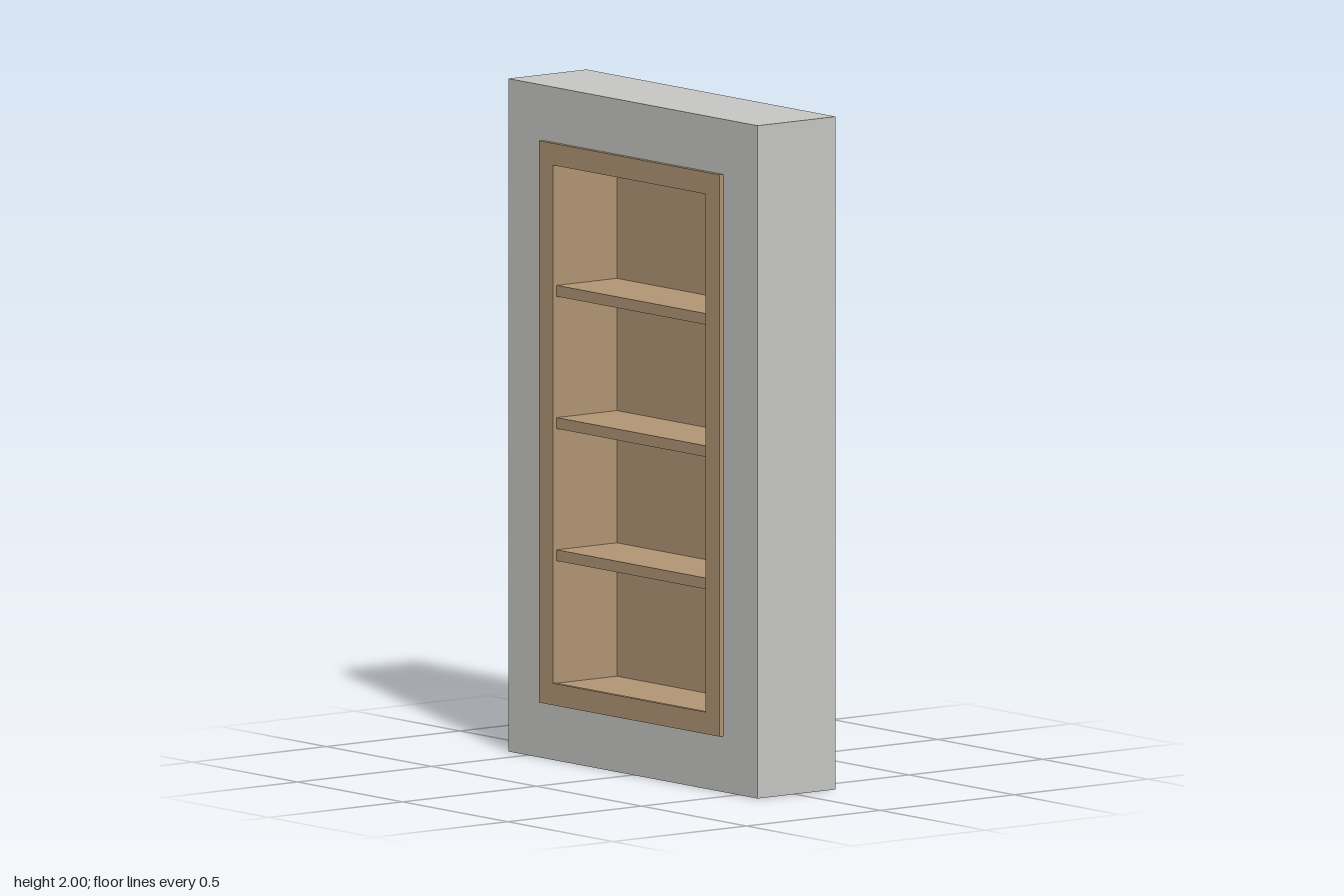
import * as THREE from 'three';

export function createModel() {
  const model = new THREE.Group();
  const stone = new THREE.MeshStandardMaterial({ color: 0xc8c8c6 });
  stone.name = 'wall grey';
  const wood = new THREE.MeshStandardMaterial({ color: 0xb39776 });
  wood.name = 'wood';

  const W = 0.593, H = 2, zBack = -0.153, zWall = 0.139, zFront = 0.153;
  const t = 0.033;                       // board thickness
  const inX = 0.363, inY = 0.77;         // half size of the niche opening
  const outX = 0.43, outY = 0.835;       // half size of the trim frame
  const zNiche = -0.086;                 // visible back of the niche

  const add = (name, geometry, material, parent = model) => {
    const mesh = new THREE.Mesh(geometry, material);
    mesh.name = name;
    parent.add(mesh);
    return mesh;
  };
  const board = (name, w, h, d, x, y, z, parent) =>
    add(name, new THREE.BoxGeometry(w, h, d), wood, parent).position.set(x, y, z);
  const polygon = (points) => points.map(([x, y]) => new THREE.Vector2(x, y));
  const rectangle = (x, y) => polygon([[-x, -y], [x, -y], [x, y], [-x, y]]);

  // Wall block: a box without its front, closed by a face with the opening cut out
  const wall = new THREE.Group();
  wall.name = 'wall';
  model.add(wall);
  const block = new THREE.BoxGeometry(2 * W, H, zWall - zBack);
  block.groups.splice(4, 1);
  add('wallBlock', block, Array(6).fill(stone), wall).position.set(0, H / 2, (zWall + zBack) / 2);
  const face = new THREE.Shape(rectangle(W, H / 2));
  face.holes.push(new THREE.Path(rectangle(inX + t, inY + t)));
  add('wallFace', new THREE.ShapeGeometry(face), stone, wall).position.set(0, H / 2, zWall);

  // Recessed wooden cabinet
  const cabinet = new THREE.Group();
  cabinet.name = 'cabinet';
  model.add(cabinet);
  const depth = zWall - zNiche, zMid = (zWall + zNiche) / 2;
  board('backPanel', 2 * (inX + t), 2 * (inY + t), t, 0, 1, zNiche - t / 2, cabinet);
  for (const s of [-1, 1]) {
    board(s > 0 ? 'leftPanel' : 'rightPanel', t, 2 * (inY + t), depth, s * (inX + t / 2), 1, zMid, cabinet);
    board(s > 0 ? 'topPanel' : 'bottomPanel', 2 * inX, t, depth, 0, 1 + s * (inY + t / 2), zMid, cabinet);
  }

  // Shelves
  for (let i = -1; i <= 1; i++) {
    board('shelf' + (i + 2), 2 * inX, t, depth, 0, 1.003 + i * 0.393, zMid, cabinet);
  }

  // Mitred trim frame standing proud of the wall
  const frame = new THREE.Group();
  frame.name = 'trimFrame';
  model.add(frame);
  const outer = rectangle(outX, outY), inner = rectangle(inX, inY);
  ['bottomTrim', 'leftTrim', 'topTrim', 'rightTrim'].forEach((name, i) => {
    const j = (i + 1) % 4;
    const trim = new THREE.Shape([outer[i], outer[j], inner[j], inner[i]]);
    const geometry = new THREE.ExtrudeGeometry(trim, { depth: zFront - zWall, bevelEnabled: false });
    add(name, geometry, wood, frame).position.set(0, 1.001, zWall);
  });

  return model;
}
